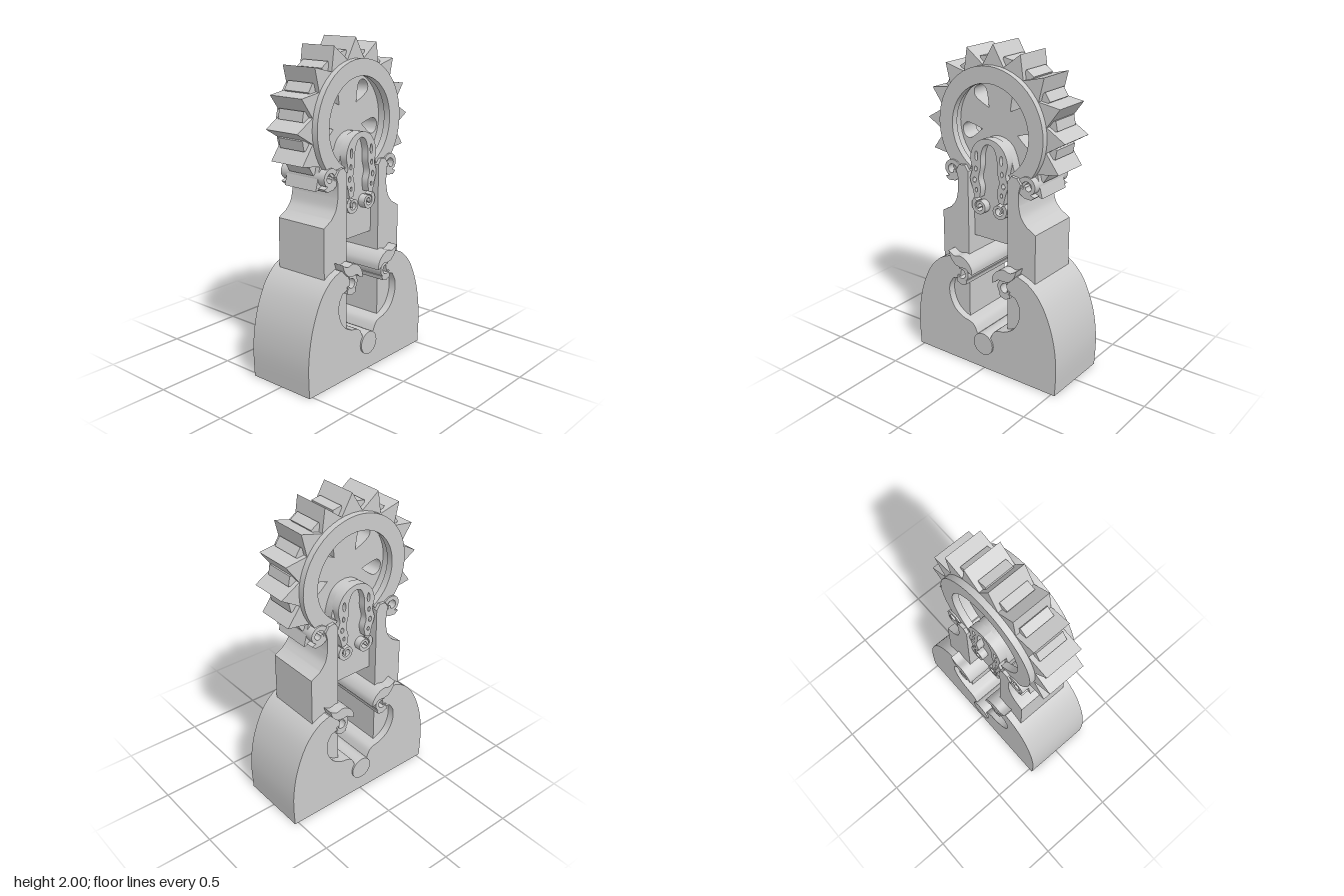
import * as THREE from 'three';
import { toCreasedNormals } from 'three/addons/utils/BufferGeometryUtils.js';

const material = new THREE.MeshStandardMaterial({ color: 0xcccccc, side: THREE.DoubleSide });
const V = (p) => new THREE.Vector2(p[0], p[1]);
const CY = 1.515; // height of the wheel axle

// smooth curve through [z, y] points
const smooth = (pts, n = 24) => new THREE.SplineCurve(pts.map(V)).getPoints(n).map((p) => [p.x, p.y]);
const mirror = (pts) => pts.map(([z, y]) => [-z, y]);

// closed band that follows a curve, tapering from width w0 to w1
function ribbon(pts, w0, w1, n = 28) {
  const curve = new THREE.SplineCurve(pts.map(V));
  const a = [], b = [];
  for (let i = 0; i <= n; i++) {
    const t = i / n, p = curve.getPoint(t), d = curve.getTangent(t);
    const w = (w0 + (w1 - w0) * t) / 2;
    a.push([p.x - d.y * w, p.y + d.x * w]);
    b.unshift([p.x + d.y * w, p.y - d.x * w]);
  }
  return a.concat(b);
}

// points of a spiral winding inwards
function spiral(z, y, r0, r1, start, turns, n = 16) {
  return Array.from({ length: n + 1 }, (_, i) => {
    const t = i / n, a = start + t * turns * Math.PI * 2, r = r0 + (r1 - r0) * t;
    return [z + Math.cos(a) * r, y + Math.sin(a) * r];
  });
}

// extrude a [z, y] outline across x from x0 to x1
function slab(outline, x0, x1, holes = []) {
  const shape = new THREE.Shape(outline.map(V));
  holes.forEach((h) => shape.holes.push(new THREE.Path(h.map(V))));
  const g = new THREE.ExtrudeGeometry(shape, { depth: x1 - x0, bevelEnabled: false });
  g.rotateY(-Math.PI / 2).translate(x1, 0, 0);
  return toCreasedNormals(g, 0.5);
}

const arc = (r, a0, a1, n, y = CY) => Array.from({ length: n + 1 }, (_, i) => {
  const a = a0 + ((a1 - a0) * i) / n;
  return [Math.sin(a) * r, y + Math.cos(a) * r];
});

export function createModel() {
  const model = new THREE.Group();
  const add = (name, geometry, parent = model) => {
    const mesh = new THREE.Mesh(geometry, material);
    mesh.name = name;
    parent.add(mesh);
    return mesh;
  };
  const group = (name) => {
    const g = new THREE.Group();
    g.name = name;
    model.add(g);
    return g;
  };
  const bothEnds = (name, outline, x0, x1, parent, holes = []) => {
    add(name, slab(outline, x0, x1, holes), parent);
    add(name, slab(mirror(outline), x0, x1, holes.map(mirror)), parent);
  };

  // horseshoe base, open underneath
  const half = [
    ...smooth([[0.525, 0], [0.53, 0.2], [0.5, 0.39], [0.43, 0.56], [0.34, 0.66], [0.25, 0.7]], 20),
    [0.2, 0.68], [0.17, 0.63], [0.18, 0.57],
    ...smooth([[0.235, 0.555], [0.265, 0.5], [0.265, 0.43], [0.235, 0.36], [0.19, 0.32], [0.145, 0.3]], 16),
    ...smooth([[0.11, 0.295], [0.075, 0.275], [0.05, 0.225]], 6),
  ];
  const solid = slab([...half, ...mirror(half).reverse()], -0.225, 0.225);
  const src = solid.attributes.position, nor = solid.attributes.normal;
  const pos = [], nrm = [];
  for (let i = 0; i < src.count; i += 3) {
    if ([0, 1, 2].every((k) => src.getY(i + k) < 1e-4)) continue;
    for (let k = i; k < i + 3; k++) {
      pos.push(src.getX(k), src.getY(k), src.getZ(k));
      nrm.push(nor.getX(k), nor.getY(k), nor.getZ(k));
    }
  }
  const open = new THREE.BufferGeometry();
  open.setAttribute('position', new THREE.Float32BufferAttribute(pos, 3));
  open.setAttribute('normal', new THREE.Float32BufferAttribute(nrm, 3));
  add('base', open);

  // round boss through the middle of the base
  const boss = new THREE.CylinderGeometry(0.072, 0.072, 0.47, 32).rotateZ(Math.PI / 2);
  add('baseBoss', boss).position.y = 0.172;

  // beaked finials on the base horns
  const finials = group('hornFinials');
  const crest = [
    ...smooth([[0.255, 0.74], [0.21, 0.715], [0.16, 0.725], [0.11, 0.7], [0.08, 0.66], [0.077, 0.62]], 16),
    ...smooth([[0.1, 0.63], [0.125, 0.65], [0.16, 0.648]], 6),
    ...smooth([[0.2, 0.655], [0.235, 0.69], [0.255, 0.74]], 8).slice(0, -1),
  ];
  bothEnds('crest', crest, -0.242, 0.242, finials);
  bothEnds('curl', ribbon(spiral(0.165, 0.6, 0.05, 0.03, 1.2, 0.75), 0.03, 0.012), -0.232, 0.232, finials);
  bothEnds('barb', [[0.2, 0.57], [0.125, 0.565], [0.13, 0.54], [0.165, 0.53], [0.2, 0.545]], -0.232, 0.232, finials);

  // two posts with concave shoulders and a narrow neck
  const post = [
    [0.145, 0], [0.342, 0], [0.342, 0.965],
    ...smooth([[0.28, 1.0], [0.24, 1.05], [0.222, 1.12]], 10),
    [0.222, 1.2], [0.235, 1.245], [0.21, 1.28], [0.17, 1.285], [0.145, 1.25],
  ];
  bothEnds('post', post, -0.178, 0.178);

  // scrolls at the post tops
  const scrolls = group('postScrolls');
  bothEnds('scroll', ribbon(spiral(0.275, 1.235, 0.055, 0.02, 2.6, -0.95), 0.03, 0.016), -0.168, 0.168, scrolls);
  bothEnds('scrollLeaf', [[0.21, 1.2], [0.25, 1.17], [0.3, 1.165], [0.325, 1.185], [0.28, 1.2], [0.22, 1.235]],
    -0.168, 0.168, scrolls);

  // central panel joining the posts and carrying the axle
  const side = [[0.147, 0.83], [0.147, 1.3],
    ...smooth([[0.13, 1.36], [0.1, 1.42], [0.05, 1.455], [0, 1.465]], 12)];
  add('centrePanel', slab([...side, ...mirror(side).reverse().slice(1)], -0.12, 0.12));

  // pierced scroll brackets on both faces of the panel
  const brackets = group('brackets');
  const strand = [
    ...smooth([[0, 1.47], [0.06, 1.455], [0.11, 1.41], [0.135, 1.34], [0.122, 1.27], [0.138, 1.21], [0.12, 1.15], [0.105, 1.09]], 30),
    ...smooth([[0.07, 1.1], [0.06, 1.16], [0.075, 1.22], [0.06, 1.29], [0.058, 1.36], [0.035, 1.42], [0, 1.437]], 24),
  ];
  const oval = (z, y, rz, ry) => Array.from({ length: 12 }, (_, i) => {
    const a = (i / 12) * Math.PI * 2;
    return [z + Math.cos(a) * rz, y + Math.sin(a) * ry];
  });
  const piercings = [oval(0.09, 1.355, 0.011, 0.03), oval(0.095, 1.275, 0.01, 0.017),
    oval(0.105, 1.205, 0.012, 0.018), oval(0.092, 1.145, 0.009, 0.014)];
  for (const [x0, x1] of [[0.11, 0.166], [-0.166, -0.11]]) {
    bothEnds('bracketStrand', strand, x0, x1, brackets, piercings);
    bothEnds('bracketScroll', ribbon(spiral(0.07, 1.045, 0.05, 0.014, 0.9, -1.3, 20), 0.026, 0.012, 40), x0, x1, brackets);
  }

  // wheel rim: wide core with a flange on each side, ending in the posts
  const wheel = group('wheel');
  const end = (150 * Math.PI) / 180;
  const band = (r0, r1) => [...arc(r1, -end, end, 40), ...arc(r0, end, -end, 40)];
  add('rimCore', slab(band(0.29, 0.36), -0.12, 0.12), wheel);
  add('flangeLeft', slab(band(0.272, 0.37), 0.115, 0.158), wheel);
  add('flangeRight', slab(band(0.272, 0.37), -0.158, -0.115), wheel);

  // pierced web disc with teardrop openings
  const openings = [36, 103, -36, -103].map((deg) => {
    const a = (deg * Math.PI) / 180;
    const drop = smooth([[0, 0.13], [0.03, 0.185], [0.048, 0.235], [0.03, 0.268], [0, 0.276],
      [-0.03, 0.268], [-0.048, 0.235], [-0.03, 0.185], [0, 0.13]], 24).slice(0, -1);
    return drop.map(([u, r]) => [u * Math.cos(a) + r * Math.sin(a), CY - u * Math.sin(a) + r * Math.cos(a)]);
  });
  add('web', slab(arc(0.3, 0, Math.PI * 2, 48).slice(0, -1), -0.06, 0.06, openings), wheel);

  // pointed teeth, with low blocks between them
  const tooth = slab([[-0.085, 0.345], [0.085, 0.345], [0, 0.487]], -0.12, 0.12);
  const block = slab([[-0.03, 0.35], [0.03, 0.35], [0.03, 0.42], [-0.03, 0.42]], -0.092, 0.092);
  const place = (name, geometry, step) => {
    const mesh = add(name, geometry, wheel);
    mesh.position.y = CY;
    mesh.rotation.x = (step * Math.PI) / 8;
  };
  for (let i = -6; i <= 6; i++) place('tooth', tooth, i);
  for (let i = -6; i < 6; i++) place('toothBlock', block, i + 0.5);

  return model;
}
